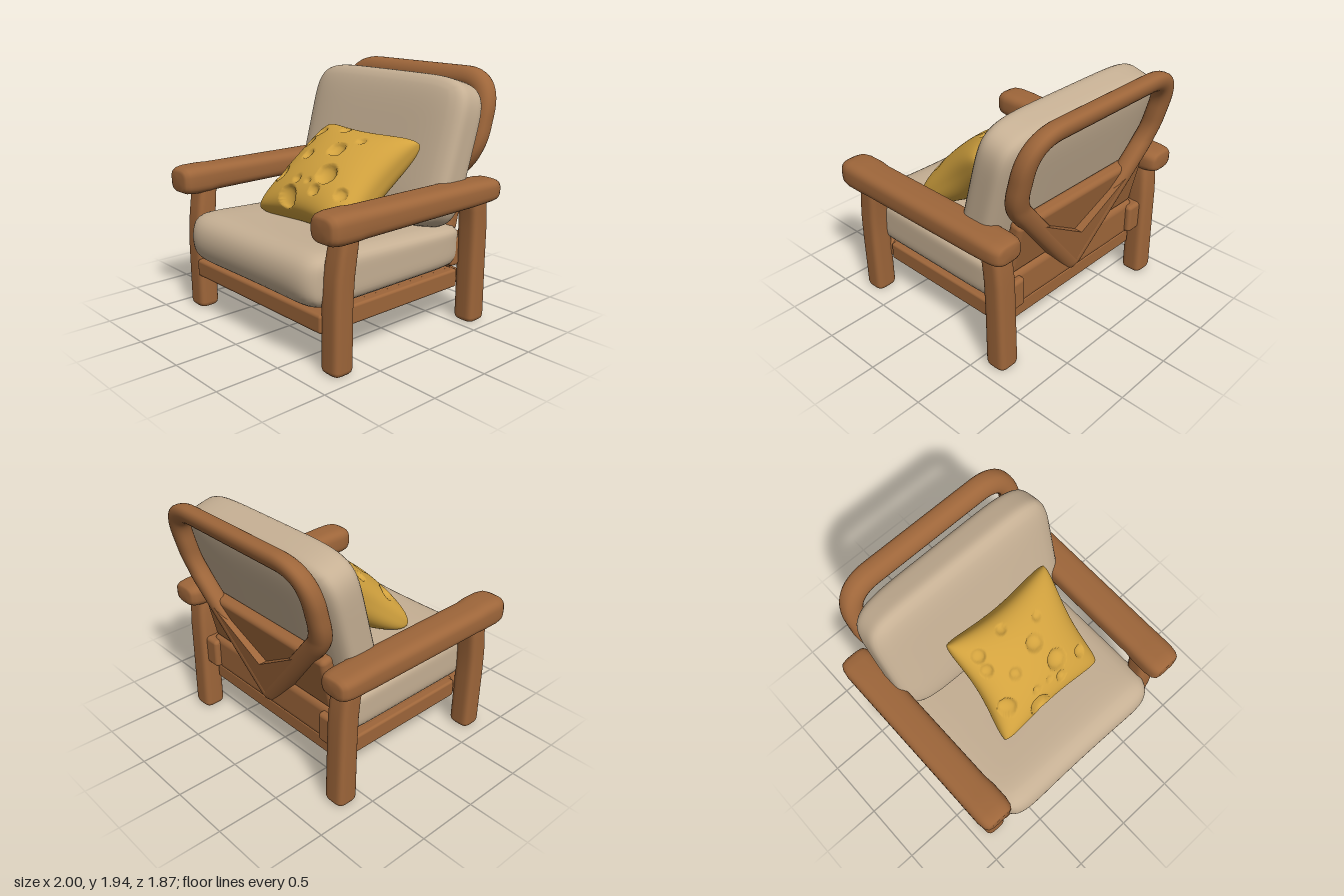
import * as THREE from 'three';
import { mergeVertices, mergeGeometries } from 'three/addons/utils/BufferGeometryUtils.js';
import { RoundedBoxGeometry } from 'three/addons/geometries/RoundedBoxGeometry.js';

const wood = new THREE.MeshStandardMaterial({ color: 0x9e663a });
wood.name = 'wood';
const linen = new THREE.MeshStandardMaterial({ color: 0xc6b094 });
linen.name = 'linen';
const mustard = new THREE.MeshStandardMaterial({ color: 0xd2a23e });
mustard.name = 'mustard';

// Drop seams so that normals run smoothly over the whole surface
function smooth(geo) {
  geo.deleteAttribute('normal');
  geo.deleteAttribute('uv');
  const out = mergeVertices(geo, 1e-4);
  out.computeVertexNormals();
  return out;
}

// Run a rule over every vertex of a geometry
function reshape(geo, rule) {
  const pos = geo.attributes.position;
  const p = new THREE.Vector3();
  for (let i = 0; i < pos.count; i++) {
    p.fromBufferAttribute(pos, i);
    rule(p);
    pos.setXYZ(i, p.x, p.y, p.z);
  }
  return geo;
}

// Stuffed cushion: n squares the outline, m squares the thin (z) section
function cushion(hx, hy, hz, n, m, rule) {
  const geo = new THREE.BoxGeometry(2, 2, 2, 32, 32, 16);
  reshape(geo, (p) => {
    const outline = Math.abs(p.x) ** n + Math.abs(p.y) ** n;
    const f = (outline ** (m / n) + Math.abs(p.z) ** m) ** (1 / m);
    p.divideScalar(f);
    p.set(p.x * hx, p.y * hy, p.z * hz);
    rule(p);
  });
  return smooth(geo);
}

// Soft-edged bar along y; rings are [y, centreX, centreZ, halfX, halfZ], r rounds the ends
function bar(rings, r, n) {
  const SIDES = 40;
  const end = (ring, dir) => [[0, 0], [0, 0.6], [0.1, 0.8], [0.4, 0.93], [1, 1]].map(([t, s]) =>
    [ring[0] + dir * t * r, ring[1], ring[2], ring[3] * s, ring[4] * s]);
  const all = [...end(rings[0], 1), ...rings.slice(1, -1), ...end(rings[rings.length - 1], -1).reverse()];
  const pow = (v) => Math.sign(v) * Math.abs(v) ** (2 / n);
  const pos = [];
  const idx = [];
  all.forEach(([y, cx, cz, a, b], i) => {
    for (let j = 0; j < SIDES; j++) {
      const t = (j / SIDES) * Math.PI * 2;
      pos.push(cx + a * pow(Math.cos(t)), y, cz + b * pow(Math.sin(t)));
      if (i === all.length - 1) continue;
      const k = (j + 1) % SIDES;
      const a0 = i * SIDES + j, a1 = i * SIDES + k;
      idx.push(a0, a0 + SIDES, a1, a1, a0 + SIDES, a1 + SIDES);
    }
  });
  const geo = new THREE.BufferGeometry();
  geo.setAttribute('position', new THREE.Float32BufferAttribute(pos, 3));
  geo.setIndex(idx);
  geo.computeVertexNormals();
  return geo;
}

// How far back the rear frame leans at height y
const lean = (y) => (y > 1.32 ? -0.715 - 0.268 * (y - 1.32) : -0.715 + 0.15 * (1.32 - y));

// Closed bent rail from [x, y, cornerCut], squared front to back, then leaned
function bentRail(corners, radius) {
  const path = new THREE.CurvePath();
  const pts = corners.map((c) => new THREE.Vector3(c[0], c[1], 0));
  const count = pts.length;
  const toward = (i, j) => pts[i].clone().add(
    pts[j].clone().sub(pts[i]).setLength(corners[i][2]));
  for (let i = 0; i < count; i++) {
    const prev = (i + count - 1) % count, next = (i + 1) % count;
    path.add(new THREE.QuadraticBezierCurve3(toward(i, prev), pts[i], toward(i, next)));
    path.add(new THREE.LineCurve3(toward(i, next), toward(next, i)));
  }
  const geo = new THREE.TubeGeometry(path, 220, radius, 24, true);
  return smooth(reshape(geo, (p) => {
    p.z = Math.sign(p.z) * radius * Math.abs(p.z / radius) ** 0.75 + lean(p.y);
  }));
}

// Throw pillow: pinched edges, stubby corners and round hollows
function pillowGeometry() {
  const W = 0.535, H = 0.5, T = 0.225;
  const surface = (u, v, s) => {
    const k = 1 - 0.1 * (u * v) ** 4;
    const x = u * k * W * (1 - 0.15 * (1 - v * v)) + 0.03 * v;
    const y = v * k * H * (1 - 0.17 * (1 - u * u));
    const z = s * T * Math.max(0, (1 - u * u) * (1 - v * v)) ** 0.36;
    return new THREE.Vector3(x, y, z);
  };
  // Hollows as [u, v, radius] on the front face
  const hollows = [
    [-0.78, 0.34, 0.05], [-0.74, 0.62, 0.055], [-0.44, 0.03, 0.048], [0.1, 0.26, 0.07],
    [0.3, -0.28, 0.085], [-0.8, -0.38, 0.075], [-0.26, -0.84, 0.09], [0.74, -0.48, 0.05],
    [0.24, -0.62, 0.045], [-0.24, -0.5, 0.035], [-0.22, 0.8, 0.04], [0.35, 0.58, 0.035],
    [0.02, -0.5, 0.025],
  ].map(([u, v, r]) => ({ c: surface(u, v, 1), r }));
  const half = (s) => reshape(new THREE.PlaneGeometry(2, 2, 110, 100), (p) => {
    const u = Math.sin(p.x * Math.PI / 2) * s;
    const v = Math.sin(p.y * Math.PI / 2);
    p.copy(surface(u, v, s));
    const inward = new THREE.Vector3(-p.x / (W * W), -p.y / (H * H), -p.z / (T * T)).normalize();
    let depth = 0;
    for (const { c, r } of hollows) {
      const d = p.distanceTo(c) / r;
      if (d < 1) depth = Math.max(depth, r * 0.6 * Math.sqrt(1 - d * d));
    }
    p.addScaledVector(inward, depth);
  });
  return smooth(mergeGeometries([half(1), half(-1)]));
}

export function createModel() {
  const model = new THREE.Group();
  const add = (name, geo, mat, x = 0, y = 0, z = 0, tilt = 0) => {
    const mesh = new THREE.Mesh(geo, mat);
    mesh.name = name;
    mesh.position.set(x, y, z);
    mesh.rotation.x = tilt;
    model.add(mesh);
  };
  const box = (w, h, d, r) => new RoundedBoxGeometry(w, h, d, 3, r);

  // Legs, armrests, rear corner blocks and side rails, mirrored
  for (const s of [1, -1]) {
    const side = s > 0 ? 'left' : 'right';
    add(side + 'FrontLeg', bar([
      [0, s * 0.82, 0.735, 0.092, 0.086], [0.5, s * 0.825, 0.735, 0.092, 0.086],
      [0.7, s * 0.83, 0.725, 0.092, 0.086], [0.85, s * 0.836, 0.705, 0.09, 0.084],
      [1.03, s * 0.842, 0.685, 0.088, 0.08],
    ], 0.04, 4), wood);
    add(side + 'RearLeg', bar([
      [0, s * 0.82, -0.65, 0.092, 0.09], [0.5, s * 0.825, -0.645, 0.092, 0.086],
      [0.75, s * 0.83, -0.64, 0.092, 0.086], [0.9, s * 0.836, -0.628, 0.09, 0.086],
      [1.03, s * 0.842, -0.615, 0.088, 0.086],
    ], 0.04, 4), wood);
    add(side + 'Armrest', bar([
      [-0.785, s * 0.866, 0, 0.133, 0.09], [-0.5, s * 0.866, 0, 0.133, 0.098],
      [0.6, s * 0.866, 0, 0.133, 0.106], [0.68, s * 0.862, 0, 0.138, 0.112],
      [0.91, s * 0.862, 0, 0.138, 0.112],
    ], 0.1, 3.2), wood, 0, 1.057, 0, Math.PI / 2);
    add(side + 'RearBlock', box(0.15, 0.24, 0.2, 0.03), wood, s * 0.69, 0.565, -0.59);
    add(side + 'SideRail', box(0.08, 0.145, 1.2, 0.02), wood, s * 0.725, 0.345, 0.04);
  }

  // Seat frame
  add('seatBase', box(1.46, 0.14, 1.36, 0.02), wood, 0.005, 0.345, 0.1);
  add('frontRail', box(1.52, 0.14, 0.19, 0.025), wood, 0.005, 0.352, 0.74);
  add('rearRail', box(1.44, 0.31, 0.14, 0.06), wood, 0, 0.565, -0.575);
  add('rearLowerRail', box(1.46, 0.13, 0.12, 0.02), wood, 0, 0.345, -0.55);

  // Leaning back frame: wide loop running down into a V
  add('backFrame', bentRail([
    [0.775, 1.866, 0.27], [-0.725, 1.866, 0.27],
    [-0.715, 1.35, 0.14], [0.02, 0.47, 0.04], [0.765, 1.35, 0.14],
  ], 0.076), wood);

  // Web filling the foot of the V
  const web = new THREE.Shape([
    [0.02, 0.47], [0.58, 1.13], [0.02, 0.78], [-0.54, 1.13],
  ].map(([x, y]) => new THREE.Vector2(x, y)));
  const webGeo = reshape(new THREE.ExtrudeGeometry(web, { depth: 0.14, bevelEnabled: false }),
    (p) => { p.z += lean(p.y) - 0.072; });
  webGeo.computeVertexNormals();
  add('backWeb', webGeo, wood);
  add('backPanel', box(1.4, 0.45, 0.11, 0.04), wood, 0, 0.93, -0.615, -0.22);

  // Seat cushion: rounded nose, squared back, slight dip along the middle
  add('seatCushion', cushion(0.775, 0.76, 0.228, 9, 5.5, (p) => {
    const middle = 1 - (p.x / 0.775) ** 2;
    const front = Math.max(0, -p.y / 0.76);
    const h = p.z / 0.228;
    if (p.z > 0) p.z -= h * (0.08 * (p.y + 0.76) / 1.52 + 0.02 * middle);
    if (p.y < 0) p.y += front ** 4 * (0.02 * middle + 0.09 * h * h);
    else p.y = Math.min(p.y * 1.12, 0.755);
  }), linen, 0.012, 0.637, 0.187, -Math.PI / 2);

  // Back cushion, slightly narrower toward the bottom
  add('backCushion', cushion(0.835, 0.58, 0.178, 6, 5, (p) => {
    p.x *= 0.985 + 0.03 * p.y;
  }), linen, 0.029, 1.32, -0.47, -0.28);

  add('throwPillow', pillowGeometry(), mustard, 0.11, 1.135, 0.1, -0.886);

  return model;
}
